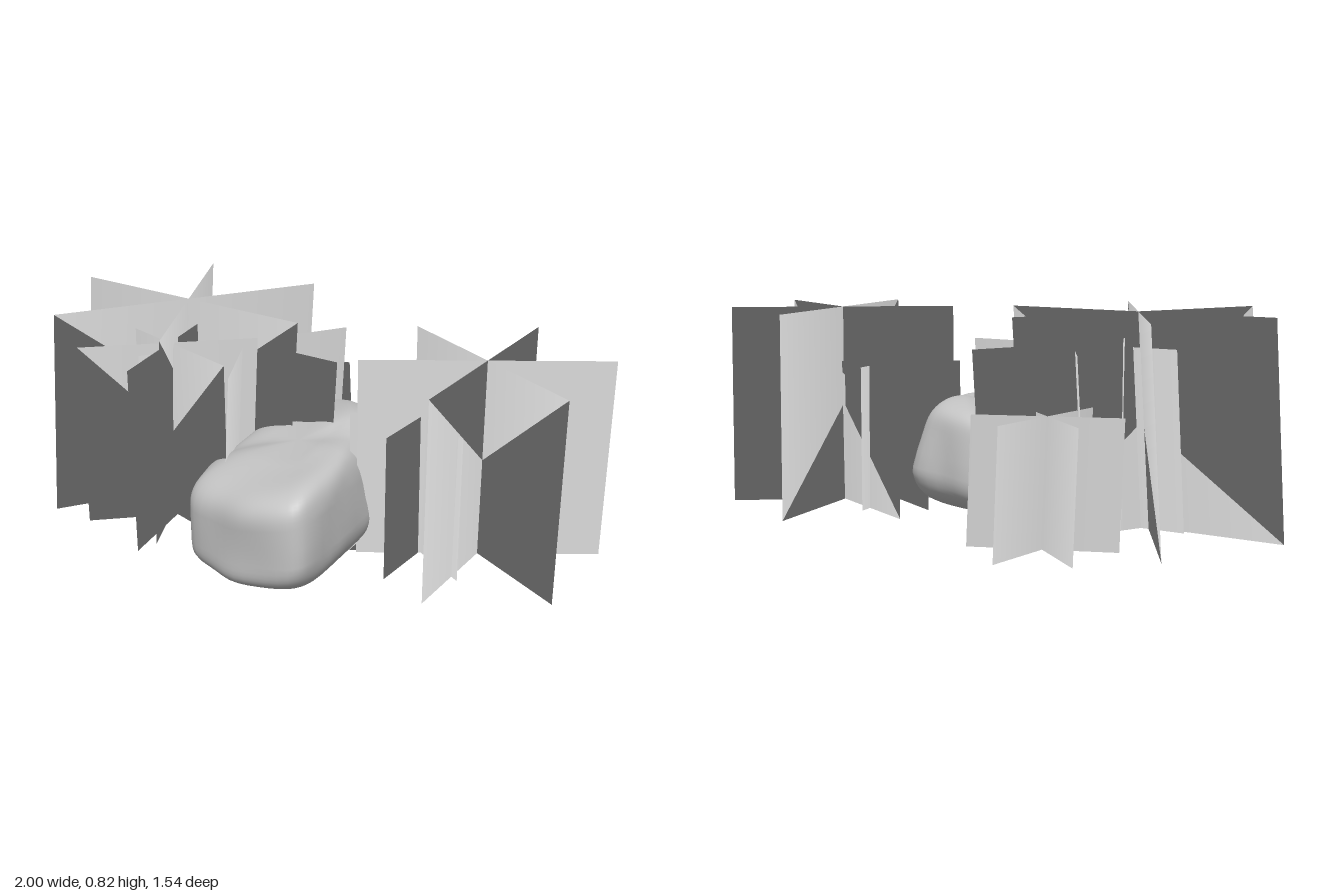
import * as THREE from 'three';
import { mergeVertices } from 'three/addons/utils/BufferGeometryUtils.js';

const GROUND = 0.05;

// Boulder: a sphere remapped to a plan outline with a boxy, tilted profile
function makeRock(material) {
  const outline = new THREE.CatmullRomCurve3([
    [-0.425, 0.3], [-0.435, 0.4], [-0.35, 0.52], [-0.23, 0.64], [-0.08, 0.71], [-0.02, 0.695],
    [0.07, 0.565], [0.18, 0.35], [0.29, 0.09], [0.305, 0.0], [0.2, -0.135], [0.08, -0.245],
    [-0.03, -0.268], [-0.13, -0.225], [-0.22, -0.13], [-0.29, -0.01], [-0.37, 0.11]
  ].map(([x, z]) => new THREE.Vector3(x, 0, z)), true);
  const cx = -0.07, cz = 0.21;

  let geo = new THREE.SphereGeometry(1, 64, 40);
  const pos = geo.attributes.position, uv = geo.attributes.uv;
  for (let i = 0; i < pos.count; i++) {
    const c = pos.getY(i);
    const s = Math.sqrt(Math.max(0, 1 - c * c));
    const power = c > 0 ? 0.4 : 0.46;
    const spread = s < 1e-5 ? 0 : Math.pow(s, power);
    const v = (1 + Math.sign(c) * Math.pow(Math.abs(c), power)) / 2;
    const edge = outline.getPoint(((uv.getX(i) % 1) + 1) % 1);
    let x = cx + (edge.x - cx) * spread;
    const z = cz + (edge.z - cz) * spread;
    // Top and bottom faces rise toward +x, with a shallow saddle across the top
    const saddle = 0.022 * Math.exp(-(((z - 0.2 - 0.25 * x) / 0.08) ** 2));
    const top = Math.min(0.485, 0.458 + 0.22 * x) - saddle + 0.008 * Math.sin(11 * z + 5 * x);
    const bottom = Math.max(0, 0.045 + 0.16 * x) + 0.03 * THREE.MathUtils.smoothstep(-z, -0.1, 0.2);
    const y = bottom + (top - bottom) * v;
    // The +x side leans inward; low bumps all round
    x -= 0.9 * Math.max(0, v - 0.3) * Math.max(0, x - cx) ** 2;
    const bump = 1 + spread * (0.01 * Math.sin(9 * x + 13 * y + 7 * z)
      + 0.012 * Math.sin(23 * x - 17 * y) * Math.sin(19 * z + 8 * y));
    pos.setXYZ(i, cx + (x - cx) * bump, y, cz + (z - cz) * bump);
  }
  geo.deleteAttribute('uv');
  geo.deleteAttribute('normal');
  geo = mergeVertices(geo, 1e-4);
  geo.computeVertexNormals();
  const rock = new THREE.Mesh(geo, material);
  rock.name = 'rock';
  return rock;
}

// Grass tuft: three upright cards crossing at 60 degrees, leaning by (dx, dz).
// Their normals point up and slightly outward, so the tuft shades as one soft dome.
function makeTuft({ name, x, z, radius, top, angle, dx, dz }, material) {
  const tuft = new THREE.Group();
  tuft.name = name;
  const height = top - GROUND;
  const normal = new THREE.Vector3();
  for (let k = 0; k < 3; k++) {
    const a = THREE.MathUtils.degToRad(angle + 60 * k);
    const ex = Math.cos(a), ez = Math.sin(a);
    const card = new THREE.PlaneGeometry(2, 1);
    const pos = card.attributes.position;
    for (let i = 0; i < 4; i++) {
      const side = pos.getX(i), up = pos.getY(i) + 0.5;
      pos.setXYZ(i, x + side * ex * radius + up * dx, GROUND + up * height, z + side * ez * radius + up * dz);
      normal.set(dx / height + 0.25 * side * ex, 1, dz / height + 0.25 * side * ez).normalize();
      card.attributes.normal.setXYZ(i, normal.x, normal.y, normal.z);
    }
    const mesh = new THREE.Mesh(card, material);
    mesh.name = 'grassCard';
    tuft.add(mesh);
  }
  return tuft;
}

export function createModel() {
  const group = new THREE.Group();
  group.name = 'rockWithGrass';
  const grey = new THREE.MeshStandardMaterial({ color: 0xc4c4c4, side: THREE.DoubleSide });
  grey.name = 'light grey';

  group.add(makeRock(grey));

  const tufts = [
    { name: 'leftLargeTuft', x: 0.57, z: 0.32, radius: 0.43, top: 0.8, angle: -1, dx: 0, dz: 0.075 },
    { name: 'leftSmallTuft', x: 0.365, z: 0.315, radius: 0.25, top: 0.59, angle: 1, dx: 0, dz: 0.045 },
    { name: 'rightLargeTuft', x: -0.543, z: -0.217, radius: 0.51, top: 0.825, angle: 34.2, dx: 0.045, dz: 0.015 },
    { name: 'rightInnerTuft', x: -0.312, z: -0.095, radius: 0.41, top: 0.7, angle: 33.5, dx: 0.035, dz: 0.012 },
    { name: 'rightFrontTuft', x: -0.537, z: 0.035, radius: 0.328, top: 0.735, angle: 48, dx: -0.002, dz: 0.015 },
    { name: 'backTuft', x: -0.135, z: -0.522, radius: 0.26, top: 0.5, angle: 12.7, dx: -0.018, dz: 0.027 }
  ];
  for (const t of tufts) group.add(makeTuft(t, grey));
  return group;
}
